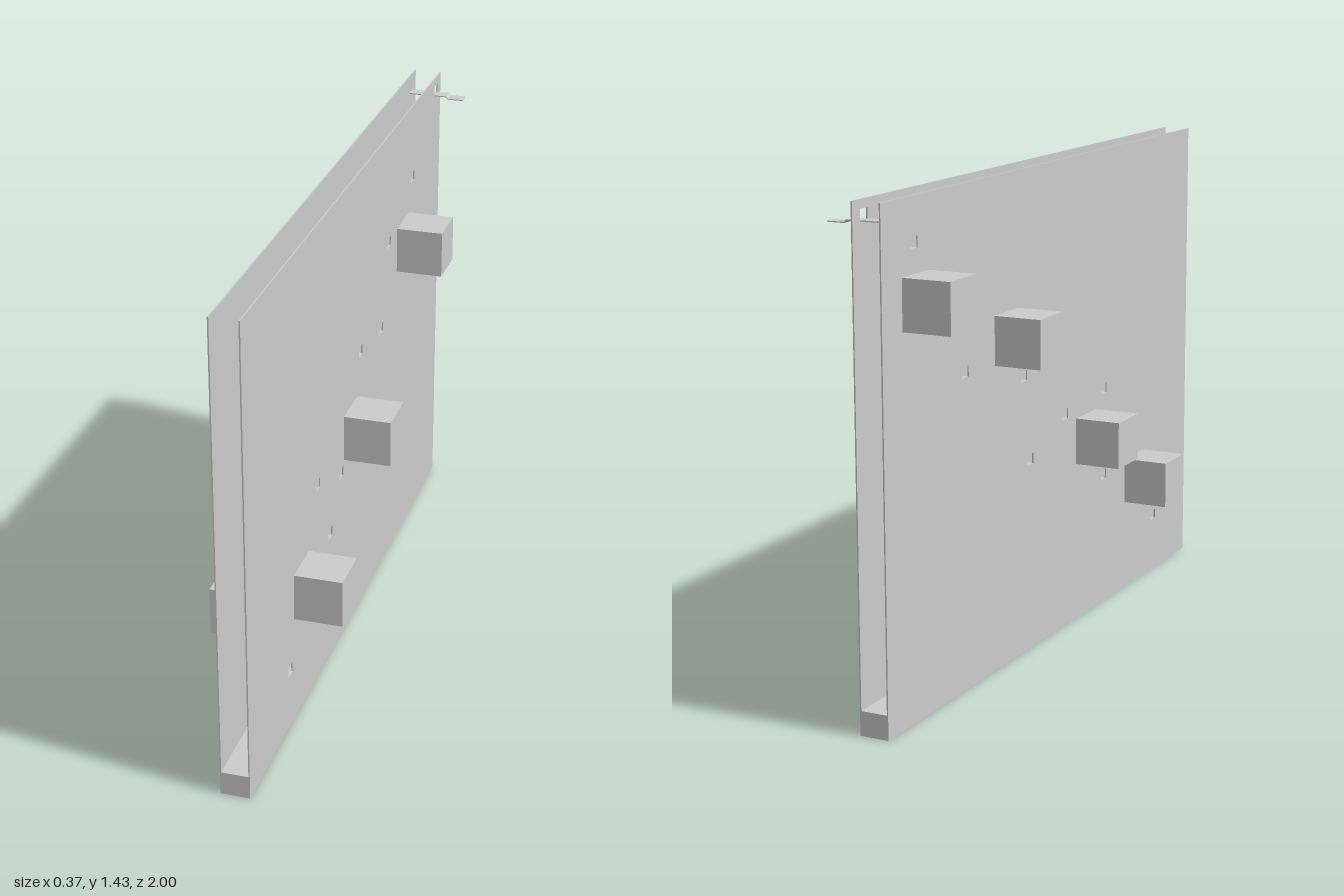
import * as THREE from 'three';

const H = 1.43, OUT = 0.043, T = 0.004;     // panel height, outer face x, thickness
const HW = 0.038, HH = 0.032;               // slot width and height

// Slots as [z centre, sill height]
const leftSlots = [[-0.83, 1.29], [-0.79, 1.12], [-0.555, 1.15], [-0.555, 0.895], [-0.28, 0.98],
  [-0.2, 0.815], [-0.16, 0.56], [0.03, 0.895], [0.075, 0.645], [0.19, 0.505], [0.35, 0.67],
  [0.35, 0.395], [0.58, 0.34], [0.74, 0.167]];
const rightSlots = [[0.63, 0.167], [0.475, 0.281], [0.545, 0.421], [0.235, 0.395], [0.355, 0.619],
  [0.12, 0.535], [0, 0.649], [-0.08, 0.843], [-0.195, 0.535], [-0.31, 0.815], [-0.39, 1.066],
  [-0.555, 1.009], [-0.665, 1.18]];
// Boxes as [z centre, y centre]
const leftBoxes = [[-0.825, 1.153], [-0.31, 0.967], [0.22, 0.562], [0.583, 0.353]];
const rightBoxes = [[-0.555, 1.02], [0.025, 0.655], [0.52, 0.4]];

export function createModel() {
  const group = new THREE.Group();
  const material = new THREE.MeshStandardMaterial({ color: 0xcccccc, flatShading: true });

  const add = (name, geometry, x = 0, y = 0, z = 0) => {
    const mesh = new THREE.Mesh(geometry, material);
    mesh.name = name;
    mesh.position.set(x, y, z);
    group.add(mesh);
  };

  const rect = (path, z, y, w, h) => {
    path.moveTo(-z - w / 2, y);
    path.lineTo(-z + w / 2, y);
    path.lineTo(-z + w / 2, y + h);
    path.lineTo(-z - w / 2, y + h);
    path.closePath();
    return path;
  };

  // Thin wall with slots, small inward ledges and outer boxes
  const wall = (side, label, slots, boxes, extraHoles) => {
    const shape = rect(new THREE.Shape(), 0, 0, 2, H);
    for (const [z, y] of [...slots, ...extraHoles])
      shape.holes.push(rect(new THREE.Path(), z, y, HW, HH));
    const panel = new THREE.ExtrudeGeometry(shape, { depth: T, bevelEnabled: false });
    panel.rotateY(Math.PI / 2);
    add(label + 'Panel', panel, side > 0 ? OUT - T : -OUT);

    for (const [z, y] of slots)
      add(label + 'Ledge', new THREE.BoxGeometry(0.018, 0.002, HW), side * (OUT - 0.009), y, z);
    for (const [z, y] of boxes)
      add(label + 'Box', new THREE.BoxGeometry(0.142, 0.142, 0.142), side * (OUT + 0.071), y, z);
  };

  wall(-1, 'right', leftSlots, leftBoxes, []);
  wall(1, 'left', rightSlots, rightBoxes, [[-0.943, 1.373]]);

  // Floor block between the panels
  add('base', new THREE.BoxGeometry(2 * (OUT - T), 0.07, 2), 0, 0.035, 0);

  // Thin stepped chute leaving through the top slot
  const top = [[-0.04, 1.376], [0.08, 1.376], [0.088, 1.369], [0.135, 1.369]];
  const profile = new THREE.Shape([...top, ...top.map(([x, y]) => [x, y - 0.003]).reverse()]
    .map(([x, y]) => new THREE.Vector2(x, y)));
  add('chute', new THREE.ExtrudeGeometry(profile, { depth: HW, bevelEnabled: false }), 0, 0, -0.962);

  return group;
}
